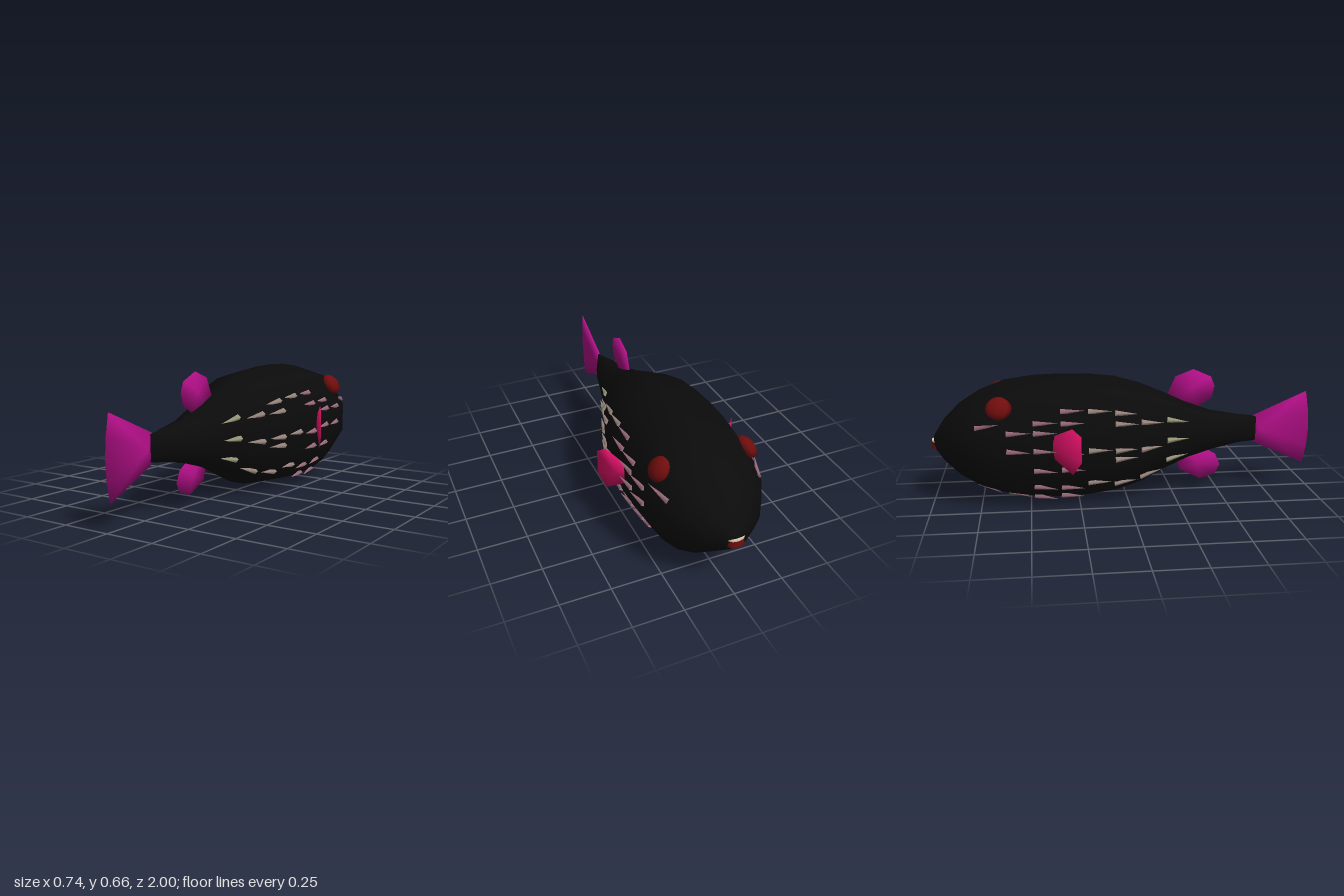
import * as THREE from 'three';

const paint = (name, color) => {
  const m = new THREE.MeshStandardMaterial({ color });
  m.name = name;
  return m;
};

// Body stations from nose to tail: z, top y, bottom y, half width
const stations = [
  [-0.985, 0.345, 0.28, 0.035], [-0.93, 0.43, 0.21, 0.115], [-0.85, 0.51, 0.14, 0.195],
  [-0.75, 0.575, 0.08, 0.25], [-0.62, 0.625, 0.035, 0.277], [-0.48, 0.645, 0.01, 0.283],
  [-0.34, 0.65, 0, 0.282], [-0.2, 0.647, 0.004, 0.27], [-0.06, 0.632, 0.022, 0.25],
  [0.07, 0.595, 0.06, 0.21], [0.2, 0.54, 0.125, 0.16], [0.32, 0.485, 0.178, 0.12],
  [0.45, 0.437, 0.218, 0.088], [0.6, 0.41, 0.25, 0.055], [0.705, 0.395, 0.262, 0.008],
];
// Left half of the ten-sided cross-section, top to bottom
const section = [[0, 1], [0.67, 0.84], [1, 0.31], [1, -0.31], [0.67, -0.84], [0, -1]];

function stationAt(z) {
  let i = 0;
  while (i < stations.length - 2 && stations[i + 1][0] < z) i++;
  const a = stations[i], b = stations[i + 1], t = (z - a[0]) / (b[0] - a[0]);
  return a.map((v, k) => v + (b[k] - v) * t);
}

// Point on the left flank at z, with v from -1 (belly) to 1 (back)
function flank(z, v, lift = 0) {
  const [, top, bottom, half] = stationAt(z);
  let i = 0;
  while (i < 4 && section[i + 1][1] > v) i++;
  const a = section[i], b = section[i + 1], t = (v - a[1]) / (b[1] - a[1]);
  const x = half * (a[0] + (b[0] - a[0]) * t);
  const y = (top + bottom) / 2 + v * (top - bottom) / 2;
  return new THREE.Vector3(x + lift, y + lift * v * 0.7, z);
}

// Indexed geometry with smooth normals
function smoothGeometry(pos, index) {
  const g = new THREE.BufferGeometry();
  g.setAttribute('position', new THREE.Float32BufferAttribute(pos, 3));
  g.setIndex(index);
  g.computeVertexNormals();
  return g;
}

function bodyGeometry() {
  const ring = [...section, ...section.slice(1, 5).reverse().map(([x, y]) => [-x, y])];
  const n = ring.length, pos = [], index = [];
  for (const [z, top, bottom, half] of stations)
    for (const [x, y] of ring) pos.push(x * half, (top + bottom) / 2 + y * (top - bottom) / 2, z);
  for (let s = 0; s < stations.length - 1; s++)
    for (let i = 0; i < n; i++) {
      const a = s * n + i, b = s * n + (i + 1) % n;
      index.push(a, a + n, b, b, a + n, b + n);
    }
  // Nose and tail caps
  const nose = pos.length / 3, end = (stations.length - 1) * n;
  pos.push(0, 0.31, -0.99, 0, 0.33, 0.706);
  for (let i = 0; i < n; i++) {
    const j = (i + 1) % n;
    index.push(nose, i, j, nose + 1, end + j, end + i);
  }
  return smoothGeometry(pos, index);
}

// Thin closed fin: an outline swelling to a low ridge at its centre on both faces.
// The outline runs anticlockwise seen from the side the ridge vector points to.
function finGeometry(outline, centre, ridge) {
  const n = outline.length, index = [];
  const pos = [...outline.flat(), ...centre.map((c, k) => c + ridge[k]), ...centre.map((c, k) => c - ridge[k])];
  for (let i = 0; i < n; i++) {
    const j = (i + 1) % n;
    index.push(i, j, n, j, i, n + 1);
  }
  return smoothGeometry(pos, index);
}

export function createModel() {
  const fish = new THREE.Group();
  fish.name = 'fish';
  const black = paint('body black', 0x0b0b0b);
  const magenta = paint('fin magenta', 0xb8108c);
  const pink = paint('side fin pink', 0xd81064);
  const red = paint('eye red', 0x700d0d);
  const cream = paint('teeth cream', 0xd8ccb0);
  const spineColors = [paint('spine mauve', 0xa07080), paint('spine taupe', 0xa08c84), paint('spine olive', 0xa0a080)];

  const add = (name, geometry, material, parent = fish) => {
    const mesh = new THREE.Mesh(geometry, material);
    mesh.name = name;
    parent.add(mesh);
    return mesh;
  };

  add('body', bodyGeometry(), black);

  // Fins on the centre line, outlines given as z, y
  const midFin = (name, zy, centre) =>
    add(name, finGeometry(zy.map(([z, y]) => [0, y, z]), [0, centre[1], centre[0]], [-0.01, 0, 0]), magenta);
  midFin('tailFin', [[0.69, 0.255], [0.975, 0.125], [0.993, 0.22], [1, 0.325], [0.993, 0.42], [0.975, 0.525], [0.69, 0.4]], [0.73, 0.327]);
  midFin('dorsalFin', [[0.475, 0.565], [0.455, 0.615], [0.36, 0.657], [0.265, 0.62], [0.225, 0.53], [0.28, 0.465], [0.385, 0.455], [0.46, 0.5]], [0.35, 0.555]);
  midFin('bellyFin', [[0.515, 0.13], [0.49, 0.19], [0.44, 0.22], [0.32, 0.215], [0.275, 0.175], [0.295, 0.11], [0.41, 0.053], [0.49, 0.08]], [0.39, 0.145]);

  // Side fins swept outward and toward the tail, outline given as x, y
  for (const s of [1, -1]) {
    const side = s > 0 ? 'left' : 'right';
    const at = (x, y) => [s * x, y, -0.38 + (x - 0.28) * 1.45];
    const outline = [[0.26, 0.38], [0.34, 0.443], [0.369, 0.41], [0.369, 0.28], [0.34, 0.212], [0.26, 0.3]];
    add(side + 'SideFin', finGeometry(outline.map(p => at(...p)), at(0.305, 0.328), [0.01, 0, -0.007 * s]), pink);

    const eye = add(side + 'Eye', new THREE.SphereGeometry(1, 8, 8), red);
    eye.scale.set(0.04, 0.06, 0.064);
    eye.position.set(s * 0.22, 0.525, -0.645);
    eye.rotation.z = s * 0.6;
  }

  // Mouth: a row of teeth over two lips
  [[0.317, 0.009, cream, 'teeth'], [0.304, 0.016, red, 'upperLip'], [0.286, 0.016, red, 'lowerLip']].forEach(([y, h, mat, name]) => {
    const bar = add(name, new THREE.CylinderGeometry(0.042, 0.042, h, 10), mat);
    bar.scale.z = 0.6;
    bar.position.set(0, y, -0.974);
  });

  // Spines lying back along both flanks: z of the base, then heights
  const rows = [
    [-0.76, 0.43, 0.11], [-0.61, 0.41, 0.32, 0.06], [-0.48, 0.455, 0.41, 0.32, 0.22, 0.12, 0.06],
    [-0.345, 0.505, 0.45, 0.3, 0.22, 0.11, 0.06], [-0.21, 0.5, 0.31, 0.13], [-0.075, 0.485, 0.435, 0.3, 0.255, 0.11],
    [0.06, 0.43, 0.29, 0.13], [0.2, 0.425, 0.32, 0.21],
  ];
  const up = new THREE.Vector3(0, 1, 0);
  const cone = new THREE.ConeGeometry(0.016, 1, 4);
  for (const s of [1, -1]) {
    const group = new THREE.Group();
    group.name = (s > 0 ? 'left' : 'right') + 'Spines';
    fish.add(group);
    rows.forEach(([z, ...heights], r) => {
      for (const y of heights) {
        const [, top, bottom] = stationAt(z);
        const v = (2 * y - top - bottom) / (top - bottom);
        const base = flank(z, v), tip = flank(z + 0.12, v, 0.018);
        base.x *= s;
        tip.x *= s;
        const dir = tip.clone().sub(base);
        const spine = add('spine', cone, spineColors[r < 4 ? 0 : r < 7 ? 1 : 2], group);
        spine.position.copy(base).addScaledVector(dir, 0.5);
        spine.scale.y = dir.length();
        spine.quaternion.setFromUnitVectors(up, dir.normalize());
      }
    });
  }
  return fish;
}
